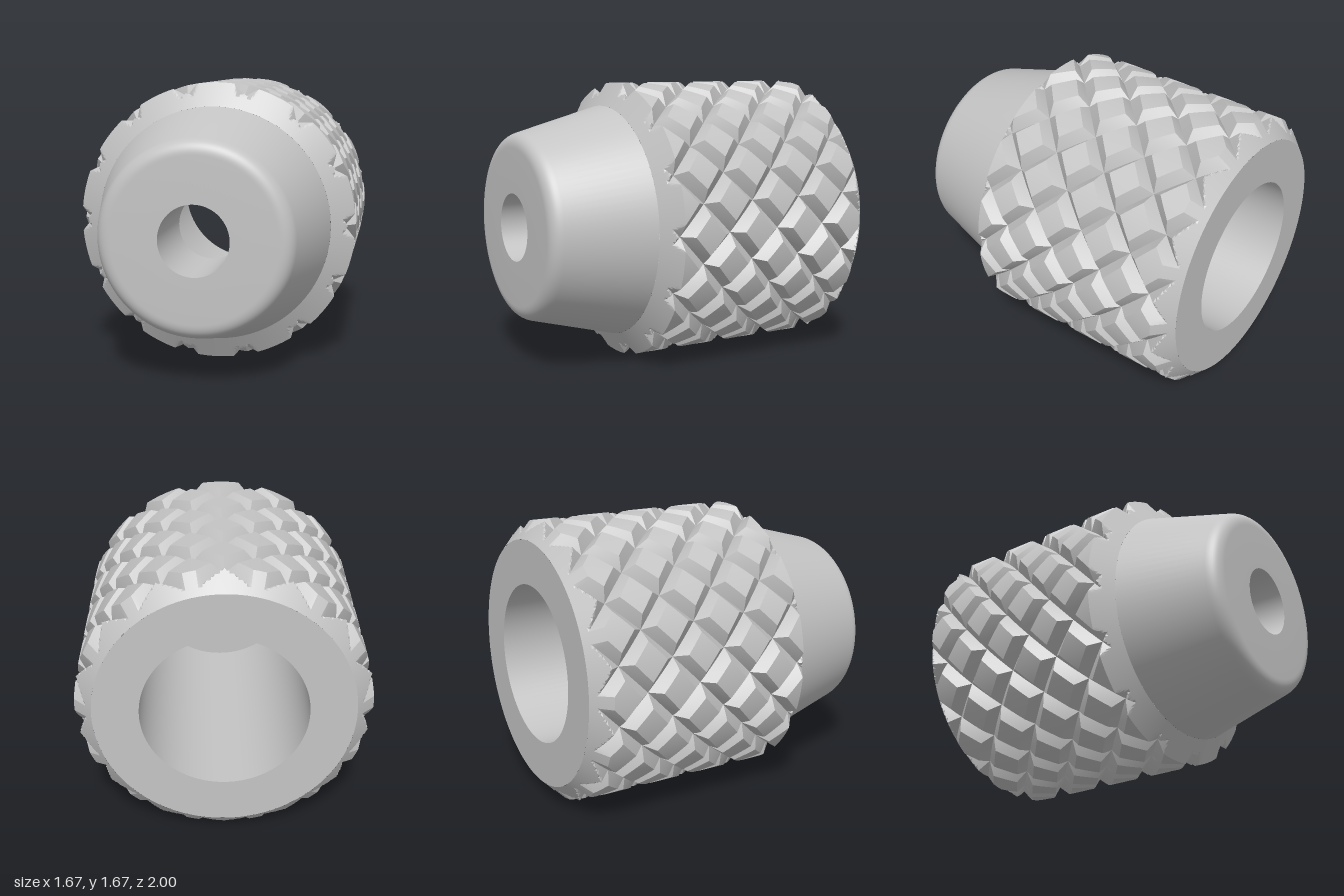
import * as THREE from 'three';
import { toCreasedNormals } from 'three/addons/utils/BufferGeometryUtils.js';

const R = 0.833;            // grip radius, also the height of the axis
const STARTS = 14;          // helical grooves in each direction
const N = 30;               // grid cells per groove spacing
const HALF = 6;             // groove half width in cells
const SPACING = 1 / 3;      // groove spacing along the axis
const DEPTH = 0.065;
const FRONT = 0.42, BACK = -1;
const SHOULDER = 1 / 3;     // front chamfer corner, where grooves cross

// Chamfered blank that the grooves are cut into
function blankRadius(z) {
  const front = 0.695 + (FRONT - z) * (R - 0.695) / (FRONT - SHOULDER);
  const back = 0.73 + (z - BACK) * (R - 0.73) / 0.1;
  return Math.min(R, front, back);
}

// Radius left by the V grooves of one direction
function grooveRadius(k) {
  const m = ((k % N) + N) % N;
  const d = Math.min(m, N - m);
  return R - DEPTH * Math.max(0, 1 - d / HALF);
}

// Crossed helical grooves on a grid whose diagonals follow the grooves
function knurlGeometry() {
  const cols = STARTS * N, dz = SPACING / N;
  const first = -Math.ceil((FRONT - SHOULDER) / dz);
  const last = Math.round((SHOULDER - BACK) / dz);
  const pos = [], index = [];
  for (let j = first; j <= last; j++) {
    const z = Math.min(FRONT, SHOULDER - j * dz);
    for (let i = 0; i < cols; i++) {
      const r = Math.min(blankRadius(z), grooveRadius(i + j), grooveRadius(i - j));
      const t = (i / cols) * Math.PI * 2;
      pos.push(r * Math.cos(t), r * Math.sin(t), z);
    }
  }
  for (let j = first; j < last; j++) {
    for (let i = 0; i < cols; i++) {
      const row = (j - first) * cols, n = (i + 1) % cols;
      const a = row + i, b = a + cols, c = row + cols + n, d = row + n;
      if ((i + j) % 2 === 0) index.push(a, b, c, a, c, d);
      else index.push(a, b, d, b, c, d);
    }
  }
  const g = new THREE.BufferGeometry();
  g.setAttribute('position', new THREE.Float32BufferAttribute(pos, 3));
  g.setIndex(index);
  return toCreasedNormals(g, 0.3);
}

// Surface of revolution about z from [radius, z] points
function turned(points) {
  const g = new THREE.LatheGeometry(points.map(p => new THREE.Vector2(p[0], p[1])), 96);
  g.rotateX(Math.PI / 2);
  return toCreasedNormals(g, 0.4);
}

export function createModel() {
  const model = new THREE.Group();
  const grey = new THREE.MeshStandardMaterial({ color: 0xc4c4c4 });
  grey.name = 'satinGrey';

  const add = (name, geometry) => {
    const mesh = new THREE.Mesh(geometry, grey);
    mesh.name = name;
    mesh.position.y = R;
    model.add(mesh);
  };

  // Grip with diamond knurling
  add('knurledGrip', knurlGeometry());

  // Tapered nose with a rounded rim
  const rim = new THREE.QuadraticBezierCurve(
    new THREE.Vector2(0.556, 0.93), new THREE.Vector2(0.537, 1), new THREE.Vector2(0.465, 1)
  ).getPoints(10).map(p => [p.x, p.y]);
  add('taperedNose', turned([[0.695, FRONT], ...rim, [0.2, 1]]));

  // Small through hole, wide bore and back face
  add('bore', turned([[0.2, 1], [0.2, 0.45], [0.47, 0.45], [0.47, BACK]]));
  add('backFace', turned([[0.47, BACK], [0.73, BACK]]));

  return model;
}
